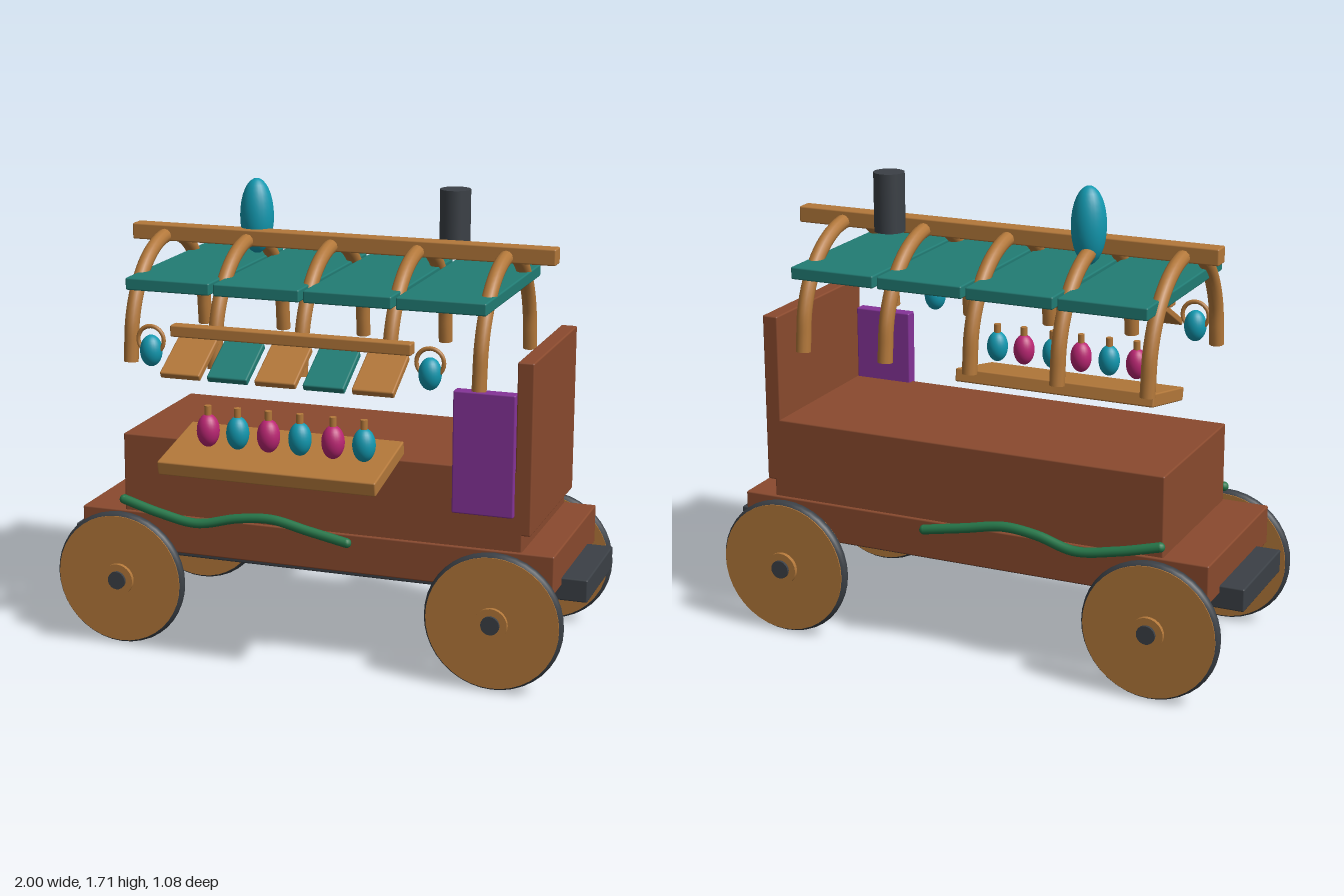
import * as THREE from 'three';
import { RoundedBoxGeometry } from 'three/addons/geometries/RoundedBoxGeometry.js';

const paint = (name, color) => {
  const m = new THREE.MeshStandardMaterial({ color });
  m.name = name;
  return m;
};

export function createModel() {
  const model = new THREE.Group();
  model.name = 'marketWagon';
  const brown = paint('redBrownTimber', 0x8a4a2e);
  const wood = paint('lightWood', 0xb3783a);
  const teal = paint('tealCanvas', 0x217c74);
  const iron = paint('darkIron', 0x3b4046);
  const purple = paint('purpleDoor', 0x853398);
  const cyan = paint('cyanGlass', 0x1299b0);
  const magenta = paint('magentaGlass', 0xbb2674);
  const green = paint('vineGreen', 0x26774a);
  const midZ = -0.1; // centre line of the wagon

  const add = (name, geometry, material, x = 0, y = 0, z = 0, parent = model) => {
    const mesh = new THREE.Mesh(geometry, material);
    mesh.name = name;
    mesh.position.set(x, y, z);
    parent.add(mesh);
    return mesh;
  };
  // softened box given by its limits
  const box = (name, material, x0, x1, y0, y1, z0, z1) =>
    add(name, new RoundedBoxGeometry(x1 - x0, y1 - y0, z1 - z0, 2, 0.006), material,
      (x0 + x1) / 2, (y0 + y1) / 2, (z0 + z1) / 2);
  const egg = (name, material, r, h, x, y, z) => {
    const mesh = add(name, new THREE.SphereGeometry(1, 24, 16), material, x, y, z);
    mesh.scale.set(r, h, r);
    return mesh;
  };
  const tube = (name, points, r, material, x = 0) => add(name,
    new THREE.TubeGeometry(new THREE.CatmullRomCurve3(points), 48, r, 12), material, x);
  const caps = (points, r, material, x = 0) => [points[0], points[points.length - 1]].forEach((p) => {
    add('tubeEnd', new THREE.SphereGeometry(r, 12, 8), material, p.x + x, p.y, p.z);
  });

  // Body
  box('chassis', iron, -1, 1, 0.305, 0.39, -0.305, 0.105);
  box('floor', brown, -0.91, 0.905, 0.36, 0.505, -0.425, 0.225);
  box('body', brown, -0.74, 0.785, 0.49, 0.8, -0.415, 0.215);
  box('endWall', brown, 0.755, 0.815, 0.565, 1.19, -0.415, 0.215);
  box('door', purple, 0.53, 0.755, 0.63, 1.075, 0.185, 0.232);

  // Wheels and axles
  for (const x of [-0.727, 0.707]) {
    const axle = add('axle', new THREE.CylinderGeometry(0.034, 0.034, 0.88, 20), iron, x, 0.265, midZ);
    axle.rotation.x = Math.PI / 2;
    for (const side of [-1, 1]) {
      const wheel = new THREE.Group();
      wheel.name = 'wheel';
      wheel.position.set(x, 0.265, midZ + side * 0.39);
      model.add(wheel);
      add('tyre', new THREE.TorusGeometry(0.23, 0.025, 12, 40), iron, 0, 0, 0, wheel);
      add('wheelDisc', new THREE.CylinderGeometry(0.243, 0.243, 0.05, 40), wood, 0, 0, 0, wheel)
        .rotation.x = Math.PI / 2;
      add('hub', new THREE.CylinderGeometry(0.06, 0.06, 0.08, 24), wood, 0, 0, 0, wheel)
        .rotation.x = Math.PI / 2;
    }
  }

  // Vines along both sides
  const vine = [[-0.735, 0.55], [-0.58, 0.515], [-0.43, 0.495], [-0.28, 0.525], [-0.15, 0.535], [0, 0.51], [0.15, 0.485]];
  for (const side of [-1, 1]) {
    const pts = vine.map(([x, y]) => new THREE.Vector3(x, y, midZ + side * (0.355 - (y - 0.5) * 0.45)));
    tube('vine', pts, 0.018, green);
    caps(pts, 0.018, green);
  }

  // Serving shelf with bottles
  const shelf = add('shelf', new RoundedBoxGeometry(0.81, 0.052, 0.33, 2, 0.006), wood, -0.055, 0.815, 0.378);
  shelf.rotation.x = 0.2;
  [-0.305, -0.193, -0.077, 0.04, 0.162, 0.275].forEach((x, i) => {
    egg('bottle', i % 2 ? cyan : magenta, 0.041, 0.06, x, 0.91, 0.44);
    add('bottleNeck', new THREE.CylinderGeometry(0.013, 0.013, 0.05, 12), wood, x, 0.975, 0.44);
  });

  // Hanging awning slats
  box('awningBar', wood, -0.51, 0.395, 1.2, 1.243, 0.245, 0.295);
  for (let i = 0; i < 5; i++) {
    const slat = add('awningSlat', new RoundedBoxGeometry(0.152, 0.026, 0.2, 2, 0.006),
      i % 2 ? teal : wood, -0.41 + i * 0.179, 1.142, 0.354);
    slat.rotation.x = 0.5;
  }

  // Lanterns on rings
  for (const x of [-0.595, 0.458]) {
    add('lanternRing', new THREE.TorusGeometry(0.05, 0.008, 8, 28), wood, x, 1.178, 0.27);
    egg('lantern', cyan, 0.041, 0.058, x, 1.138, 0.27);
  }

  // Roof ribs
  const arch = [new THREE.Vector3(0, 1.085, midZ + 0.35)];
  for (let i = 0; i <= 12; i++) {
    const a = (i / 12) * Math.PI;
    arch.push(new THREE.Vector3(0, 1.13 + 0.365 * Math.sin(a), midZ + 0.345 * Math.cos(a)));
  }
  arch.push(new THREE.Vector3(0, 1.085, midZ - 0.35));
  for (let i = 0; i < 5; i++) {
    const x = -0.685 + i * 0.3285;
    tube('roofRib', arch, 0.027, wood, x);
    for (const side of [-1, 1]) {
      add('ribEnd', new THREE.CircleGeometry(0.027, 12), wood, x, 1.086, midZ + side * 0.35)
        .rotation.x = Math.PI / 2;
    }
  }

  // Canopy panels and ridge
  for (let i = 0; i < 4; i++) {
    const x = -0.69 + i * 0.3405;
    box('canopyPanel', teal, x, x + 0.325, 1.355, 1.4, -0.475, 0.275);
  }
  box('ridgeBeam', wood, -0.815, 0.81, 1.475, 1.535, -0.135, -0.07);
  egg('roofFinial', cyan, 0.063, 0.14, -0.345, 1.577, -0.15);
  add('chimney', new THREE.CylinderGeometry(0.056, 0.056, 0.215, 28), iron, 0.405, 1.602, -0.195);

  return model;
}
